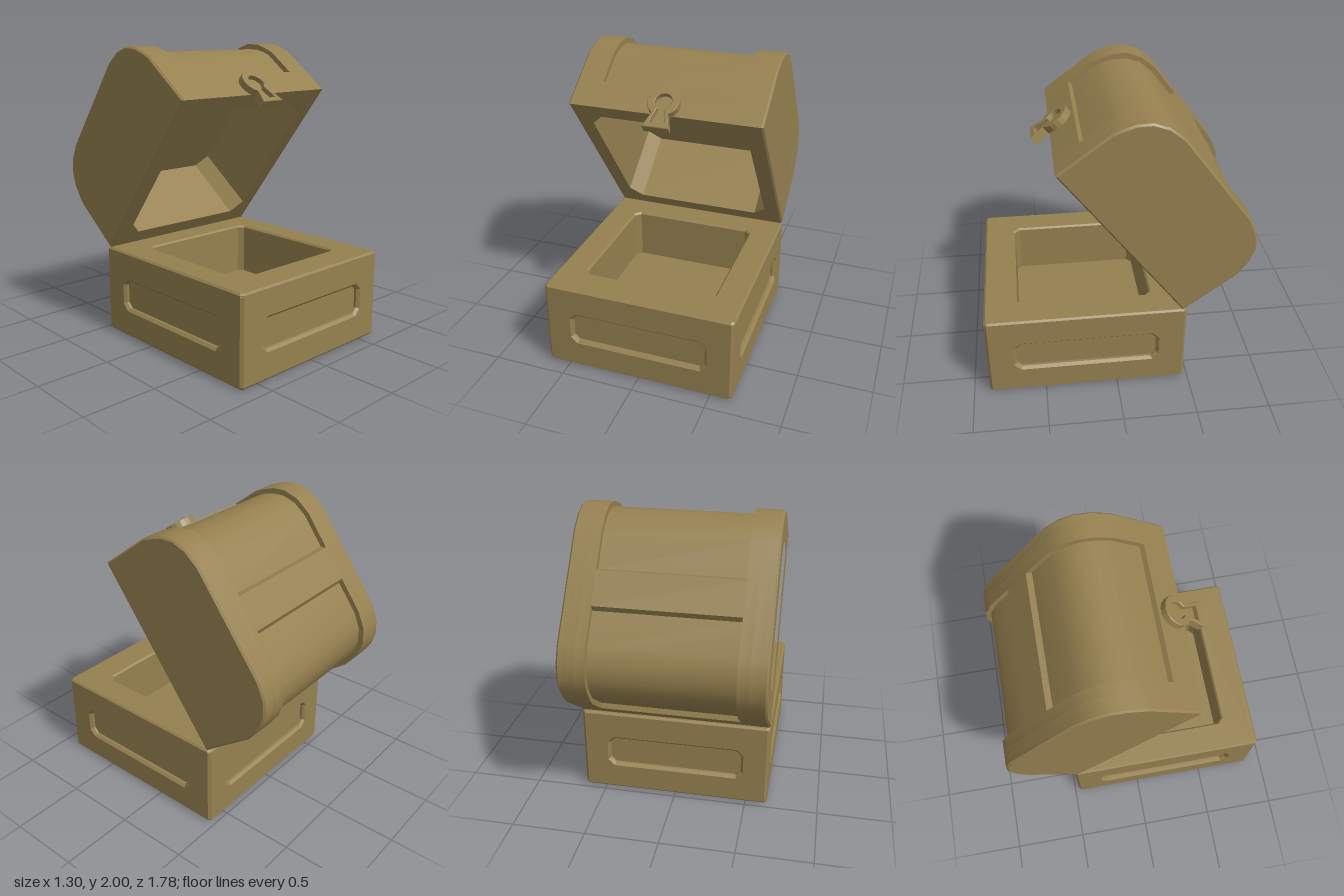
import * as THREE from 'three';
import { toCreasedNormals } from 'three/addons/utils/BufferGeometryUtils.js';

const wood = new THREE.MeshStandardMaterial({ color: 0x95804f });
wood.name = 'tan';

const LENGTH = 1.36; // chest depth, front to back

const add = (parent, name, geometry) => {
  const mesh = new THREE.Mesh(geometry, wood);
  mesh.name = name;
  parent.add(mesh);
  return mesh;
};
const polygon = (points) => new THREE.Shape(points.map((p) => new THREE.Vector2(...p)));

// rectangle with cut corners
function rect(w, h, c) {
  const x = w / 2, y = h / 2;
  return polygon([[-x + c, -y], [x - c, -y], [x, -y + c], [x, y - c], [x - c, y], [-x + c, y], [-x, y - c], [-x, -y + c]]);
}

// extrusion whose front is at z = 0 and whose outline is the largest section
function plate(shape, thickness, bevel) {
  const g = new THREE.ExtrudeGeometry(shape, {
    depth: thickness - 2 * bevel, bevelEnabled: bevel > 0, bevelThickness: bevel,
    bevelSize: bevel, bevelOffset: -bevel, bevelSegments: 1, curveSegments: 8,
  });
  return g.translate(0, 0, bevel - thickness);
}

// half outline mirrored about the middle of the lid
const mirrored = (half) => [...half, ...half.slice().reverse().map(([u, v]) => [LENGTH - u, v])];

// lid section in (depth, height), swept from x0 to x1
function slab(shape, x0, x1, bevel = 0) {
  const g = plate(shape, x1 - x0, bevel);
  g.translate(0, 0, x1 - x0).rotateY(-Math.PI / 2).translate(x1, 0, 0);
  return toCreasedNormals(g, 0.5);
}

function buildBase() {
  const base = new THREE.Group();
  base.name = 'base';
  const H = 0.61, W = 1.3, inset = 0.035;

  // faces with recessed panels
  const face = (name, w, h, hole, pos, rx, ry) => {
    const shape = rect(w, h, 0.02);
    if (hole) shape.holes.push(rect(hole[0], hole[1], 0.035));
    const m = add(base, name, plate(shape, 0.06, name === 'rim' ? 0.012 : 0.018));
    m.position.set(...pos);
    m.rotation.set(rx, ry, 0);
  };
  const panel = 0.2;
  face('frontFrame', W, H, [0.92, panel], [0, H / 2, LENGTH / 2], 0, 0);
  face('backFrame', W, H, [0.92, panel], [0, H / 2, -LENGTH / 2], 0, Math.PI);
  for (const s of [1, -1]) {
    face(s > 0 ? 'leftFrame' : 'rightFrame', LENGTH, H, [0.96, panel], [s * W / 2, H / 2, 0], 0, s * Math.PI / 2);
  }
  face('rim', W, LENGTH, [0.9, 0.91], [0, H, 0], -Math.PI / 2, 0);
  face('underside', W, LENGTH, null, [0, 0, 0], Math.PI / 2, 0);

  // walls around the cavity, and its floor
  const ring = rect(W - 2 * inset, LENGTH - 2 * inset, 0.01);
  ring.holes.push(rect(0.9, 0.91, 0.035));
  const walls = add(base, 'cavityWalls', plate(ring, 0.55, 0));
  walls.rotation.x = -Math.PI / 2;
  walls.position.y = 0.58;
  add(base, 'cavityFloor', new THREE.BoxGeometry(0.94, 0.2, 0.95)).position.y = 0.15;
  base.position.z = 0.21;
  return base;
}

function buildLid() {
  const lid = new THREE.Group();
  lid.name = 'lid';
  const c0 = 0.115, c1 = LENGTH - c0, top = 0.52; // cavity limits
  const outer = mirrored([[0, 0], [0, 0.42], [0.015, 0.48], [0.045, 0.565], [0.1, 0.645], [0.19, 0.705], [0.31, 0.735]]);
  const notch = [[c1, 0], [c1, top], [c0, top], [c0, 0]];
  const sidePanel = mirrored([[0.19, 0.19], [0.19, 0.42], [0.235, 0.51], [0.32, 0.55]]);

  // middle section, sunk into two panels parted by a band across the top
  const sunk = mirrored([
    [0, 0], [0, 0.2], [0.035, 0.21], [0.035, 0.43], [0.05, 0.485], [0.078, 0.55], [0.125, 0.615],
    [0.205, 0.672], [0.315, 0.7], [0.545, 0.7], [0.565, 0.735],
  ]);
  add(lid, 'panelledMiddle', slab(polygon([...sunk, ...notch]), -0.47, 0.47));

  for (const s of [1, -1]) {
    const side = s > 0 ? 'left' : 'right';
    const span = (a, b) => (s > 0 ? [a, b] : [-b, -a]);
    add(lid, side + 'Rib', slab(polygon([...outer, ...notch]), ...span(0.465, 0.54)));
    add(lid, side + 'Wall', slab(polygon(outer), ...span(0.535, 0.615)));
    const frame = polygon(outer);
    frame.holes.push(polygon(sidePanel));
    add(lid, side + 'Frame', slab(frame, ...span(0.57, 0.65), 0.012));

    // slanted corners inside the lid
    for (const [u, d] of [[c0, 1], [c1, -1]]) {
      const tri = polygon([[s * 0.45, -u], [s * 0.54, -u], [s * 0.54, -u - d * 0.1]]);
      const corner = add(lid, side + 'InnerCorner', plate(tri, top, 0));
      corner.rotation.x = -Math.PI / 2;
      corner.position.y = top;
    }
  }

  // keyhole clasp
  const cy = 0.075;
  const keyShape = (r, neck, foot, bottom) => {
    const a = Math.asin(neck / r);
    const s = new THREE.Shape();
    s.moveTo(-foot, bottom);
    s.lineTo(foot, bottom);
    s.absarc(0, cy, r, -Math.PI / 2 + a, 1.5 * Math.PI - a, false);
    s.closePath();
    return s;
  };
  const clasp = keyShape(0.105, 0.055, 0.088, -0.12);
  add(lid, 'claspBack', plate(clasp, 0.025, 0)).position.z = LENGTH + 0.015;
  clasp.holes.push(keyShape(0.057, 0.026, 0.05, -0.085));
  add(lid, 'claspFront', plate(clasp, 0.04, 0.004)).position.z = LENGTH + 0.05;

  lid.position.set(0, 0.608, -0.44);
  lid.rotation.x = -0.925;
  return lid;
}

export function createModel() {
  const chest = new THREE.Group();
  chest.name = 'chest';
  chest.add(buildBase(), buildLid());
  return chest;
}
